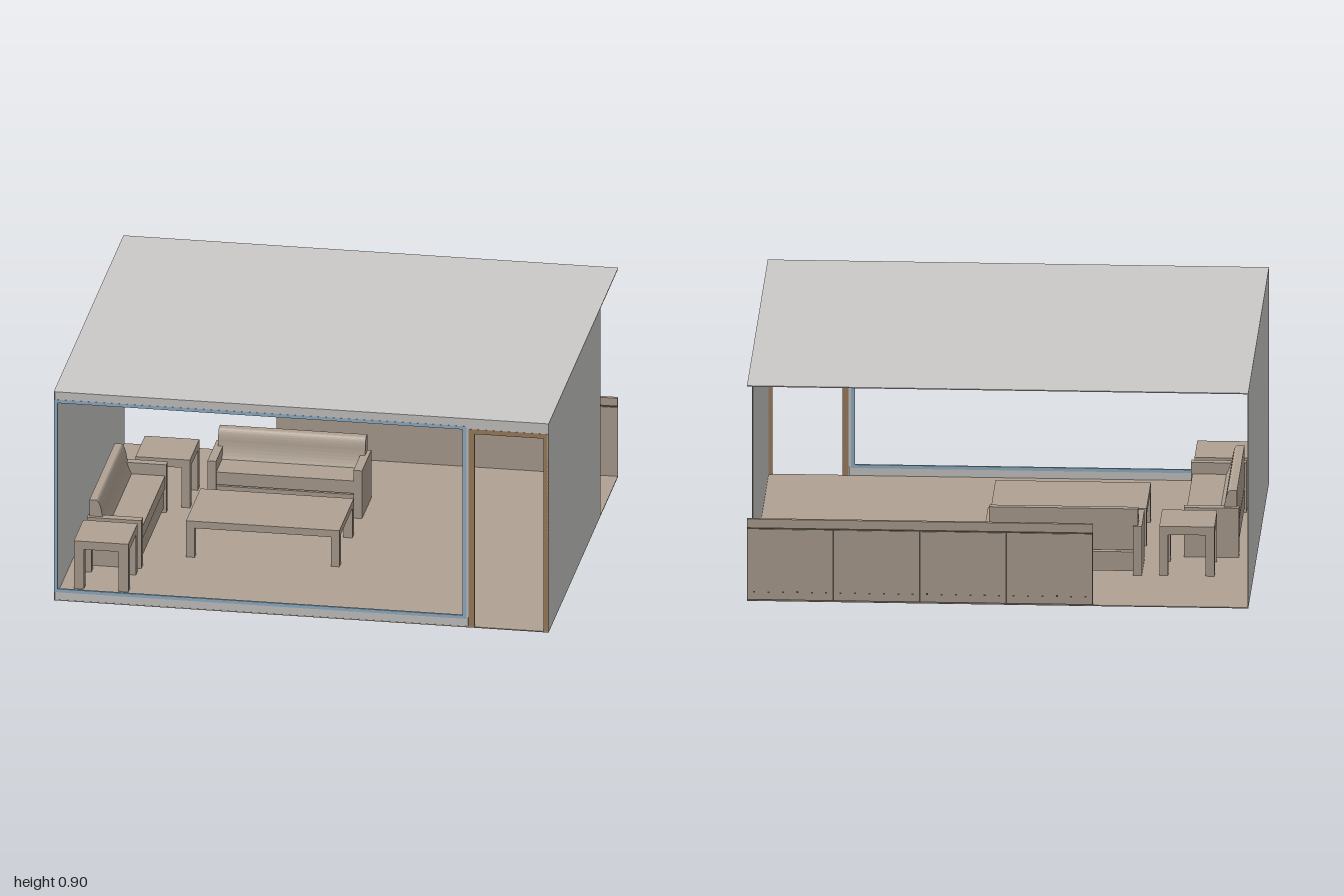
import * as THREE from 'three';

const mat = (name, color, side = THREE.FrontSide) => {
  const m = new THREE.MeshStandardMaterial({ color, side });
  m.name = name;
  return m;
};

export function createModel() {
  const plaster = mat('plasterGrey', 0xcac9c7);
  const tan = mat('tanWood', 0xb0a293);
  const doorWood = mat('doorBrown', 0xa08060);
  const frameBlue = mat('windowBlue', 0x94b4ca);
  const dark = mat('darkGap', 0x4f483f);

  const model = new THREE.Group();
  model.name = 'loungeRoom';

  // Box given by its minimum and maximum on each axis
  const box = (parent, name, m, x0, x1, y0, y1, z0, z1) => {
    const mesh = new THREE.Mesh(new THREE.BoxGeometry(x1 - x0, y1 - y0, z1 - z0), m);
    mesh.position.set((x0 + x1) / 2, (y0 + y1) / 2, (z0 + z1) / 2);
    mesh.name = name;
    parent.add(mesh);
    return mesh;
  };
  const group = (name, x = 0, z = 0) => {
    const g = new THREE.Group();
    g.name = name;
    g.position.set(x, 0, z);
    model.add(g);
    return g;
  };

  // Room shell: thin sheets, open at the back
  const Z = 0.825;
  box(model, 'floor', tan, -1, 1, 0, 0.004, -Z, Z);
  box(model, 'roof', plaster, -1, 1, 0.896, 0.9, -Z, Z);
  box(model, 'rightWall', plaster, -1, -0.996, 0.004, 0.896, -Z, Z);
  box(model, 'leftWall', plaster, 0.996, 1, 0.004, 0.896, -0.41, Z);
  box(model, 'frontLintel', plaster, -0.996, 0.996, 0.855, 0.896, Z - 0.006, Z - 0.001);
  box(model, 'frontSill', plaster, -0.996, 0.675, 0.004, 0.042, Z - 0.006, Z - 0.001);
  box(model, 'frontPost', plaster, 0.664, 0.68, 0.042, 0.855, Z - 0.006, Z - 0.001);

  // Open frame of four bars (bottom bar optional)
  const frame = (name, m, x0, x1, y0, y1, w, bottom) => {
    const g = group(name);
    box(g, 'leftBar', m, x1 - w[1], x1, y0, y1, Z - 0.009, Z);
    box(g, 'rightBar', m, x0, x0 + w[0], y0, y1, Z - 0.009, Z);
    box(g, 'topBar', m, x0 + w[0], x1 - w[1], y1 - w[2], y1, Z - 0.009, Z);
    if (bottom) box(g, 'bottomBar', m, x0 + w[0], x1 - w[1], y0, y0 + w[2], Z - 0.009, Z);
  };
  frame('windowFrame', frameBlue, -1, 0.668, 0.036, 0.866, [0.016, 0.016, 0.014], true);
  frame('doorFrame', doorWood, 0.677, 1, 0.004, 0.855, [0.024, 0.02, 0.02], false);

  // Low cabinet along the back: backing, four panels, top rail, vent holes
  const cabinet = group('backCabinet');
  box(cabinet, 'backing', tan, -0.38, 1, 0.004, 0.3, -0.819, -0.815);
  box(cabinet, 'gapSheet', dark, -0.38, 1, 0.004, 0.31, -0.8215, -0.819);
  box(cabinet, 'topRail', tan, -0.38, 1, 0.308, 0.342, -Z, -0.811);
  const pw = 1.38 / 4;
  for (let i = 0; i < 4; i++) {
    const x0 = -0.38 + i * pw;
    box(cabinet, 'panel', tan, x0 + 0.003, x0 + pw - 0.003, 0.008, 0.3, -0.8245, -0.8215);
    for (let j = 0; j < 6; j++) {
      const x = x0 + pw * (j + 0.5) / 6;
      box(cabinet, 'ventHole', dark, x - 0.004, x + 0.004, 0.035, 0.041, -0.825, -0.824);
    }
  }

  // Sofa facing +z: arms, base, cushion and a back with a curved front
  const sofa = (name, x, z, turn) => {
    const g = group(name, x, z);
    g.rotation.y = turn;
    const h = 0.3125, arm = 0.035, d = 0.11;
    for (const s of [-1, 1]) {
      const a = s * h, b = s * (h - arm);
      box(g, 'arm', tan, Math.min(a, b), Math.max(a, b), 0.004, 0.21, -d, d);
    }
    box(g, 'base', tan, -h + arm, h - arm, 0.02, 0.1, -d + 0.008, d - 0.012);
    box(g, 'seatCushion', tan, -h + arm, h - arm, 0.108, 0.162, -d + 0.008, d - 0.005);
    const p = new THREE.Shape();
    p.moveTo(0.102, 0.162);
    p.lineTo(0.03, 0.162);
    p.quadraticCurveTo(0.05, 0.2, 0.055, 0.24);
    p.quadraticCurveTo(0.062, 0.275, 0.075, 0.28);
    p.lineTo(0.102, 0.28);
    p.closePath();
    const len = 2 * h - 0.03;
    const geo = new THREE.ExtrudeGeometry(p, { depth: len, bevelEnabled: false, curveSegments: 6 });
    geo.translate(0, 0, -len / 2);
    geo.rotateY(Math.PI / 2);
    const back = new THREE.Mesh(geo, tan);
    back.name = 'backrest';
    g.add(back);
    return g;
  };
  sofa('backSofa', -0.243, -0.32, 0);
  sofa('sideSofa', -0.82, 0.137, Math.PI / 2);

  // Tables: slab top on four corner legs
  const table = (name, x, z, w, d, h, t, leg) => {
    const g = group(name, x, z);
    box(g, 'top', tan, -w / 2, w / 2, h - t, h, -d / 2, d / 2);
    for (const sx of [-1, 1]) for (const sz of [-1, 1]) {
      const cx = sx * (w - leg) / 2, cz = sz * (d - leg) / 2;
      box(g, 'leg', tan, cx - leg / 2, cx + leg / 2, 0.004, h - t, cz - leg / 2, cz + leg / 2);
    }
  };
  table('coffeeTable', -0.245, 0.13, 0.62, 0.34, 0.16, 0.03, 0.035);
  table('frontEndTable', -0.83, 0.59, 0.22, 0.22, 0.21, 0.035, 0.04);
  table('cornerTable', -0.735, -0.315, 0.22, 0.22, 0.21, 0.035, 0.035);

  return model;
}
